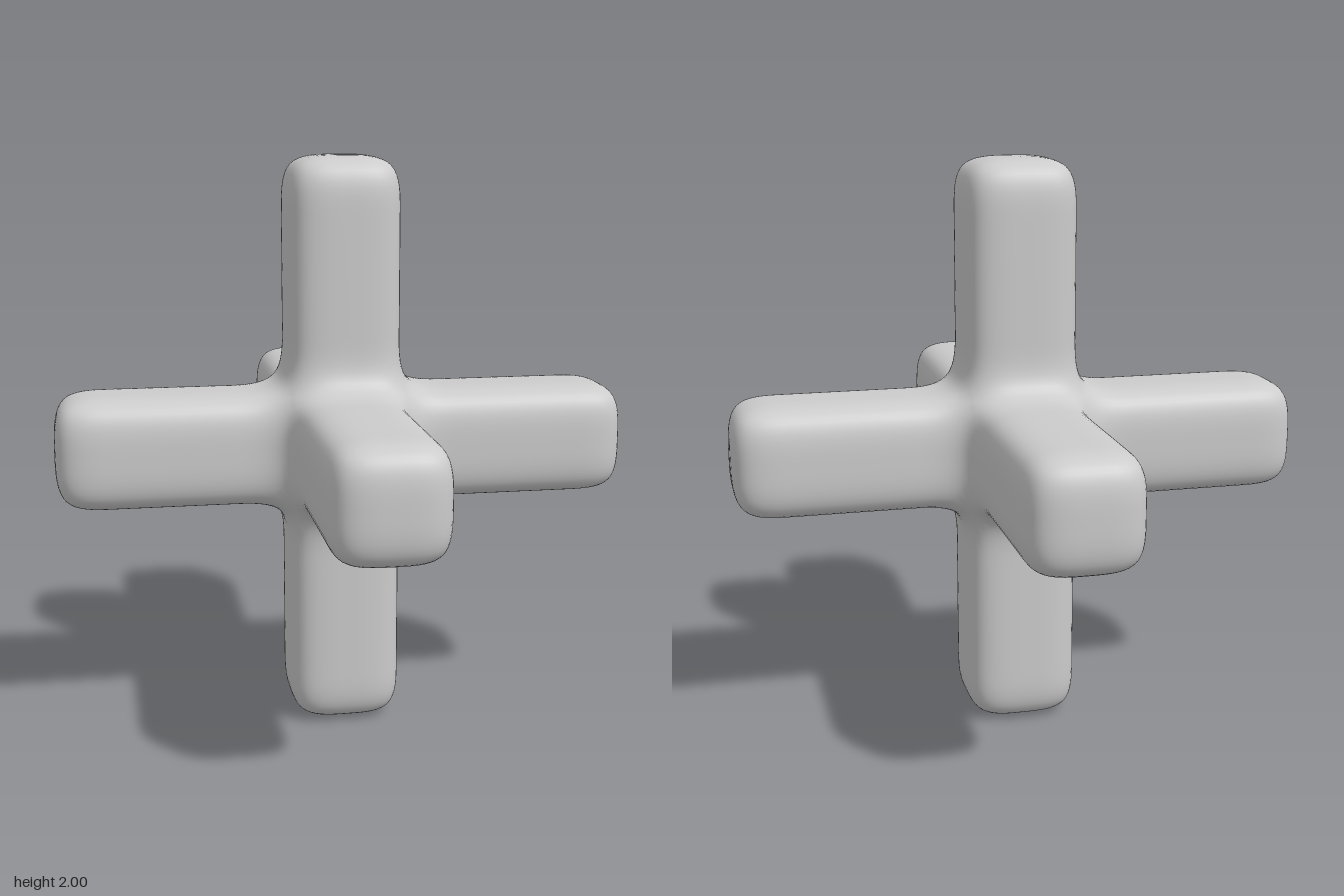
import * as THREE from 'three';

// Cage spacing along each axis: index 0..5 outward from the centre
const STEPS = [0, 0.196, 0.4, 0.6, 0.8, 1];
const place = (i) => Math.sign(i) * STEPS[Math.abs(i)];

// Blocky cage: cells two wide along each axis, forming six square arms
function buildCage() {
  const filled = (c) =>
    c.every((v) => v >= -5 && v < 5) && c.filter((v) => v === -1 || v === 0).length >= 2;
  const points = [], faces = [], ids = new Map();
  const vertex = (p) => {
    const key = p.join();
    if (!ids.has(key)) {
      ids.set(key, points.length);
      points.push(new THREE.Vector3(...p.map(place)));
    }
    return ids.get(key);
  };
  for (let x = -5; x < 5; x++) for (let y = -5; y < 5; y++) for (let z = -5; z < 5; z++) {
    const cell = [x, y, z];
    if (!filled(cell)) continue;
    for (let a = 0; a < 3; a++) for (const s of [-1, 1]) {
      const next = [...cell];
      next[a] += s;
      if (filled(next)) continue;
      const b = (a + 1) % 3, c = (a + 2) % 3;
      const face = [[0, 0], [1, 0], [1, 1], [0, 1]].map(([u, v]) => {
        const p = [...cell];
        p[a] += s > 0 ? 1 : 0;
        p[b] += u;
        p[c] += v;
        return vertex(p);
      });
      faces.push(s > 0 ? face : face.reverse());
    }
  }
  return { points, faces };
}

// One round of Catmull-Clark smoothing on a closed quad mesh
function subdivide({ points, faces }) {
  const n = points.length;
  const out = points.map(() => new THREE.Vector3());
  const faceSum = points.map(() => new THREE.Vector3());
  const edgeSum = points.map(() => new THREE.Vector3());
  const valence = new Array(n).fill(0);
  const edges = new Map();
  const centres = faces.map((f) => {
    const m = new THREE.Vector3();
    f.forEach((i) => m.addScaledVector(points[i], 0.25));
    out.push(m);
    f.forEach((i, k) => {
      const j = f[(k + 1) % 4];
      const key = Math.min(i, j) * n + Math.max(i, j);
      if (!edges.has(key)) edges.set(key, { i, j, sum: new THREE.Vector3() });
      edges.get(key).sum.add(m);
      faceSum[i].add(m);
      valence[i]++;
    });
    return out.length - 1;
  });
  for (const e of edges.values()) {
    const mid = points[e.i].clone().add(points[e.j]);
    edgeSum[e.i].addScaledVector(mid, 0.5);
    edgeSum[e.j].addScaledVector(mid, 0.5);
    e.id = out.push(mid.add(e.sum).multiplyScalar(0.25)) - 1;
  }
  points.forEach((p, i) => {
    const v = valence[i];
    out[i].copy(p).multiplyScalar((v - 3) / v)
      .addScaledVector(faceSum[i], 1 / (v * v))
      .addScaledVector(edgeSum[i], 2 / (v * v));
  });
  const edgeId = (i, j) => edges.get(Math.min(i, j) * n + Math.max(i, j)).id;
  const quads = faces.flatMap((f, q) => f.map((i, k) =>
    [i, edgeId(i, f[(k + 1) % 4]), centres[q], edgeId(f[(k + 3) % 4], i)]));
  return { points: out, faces: quads };
}

export function createModel() {
  let mesh = buildCage();
  for (let level = 0; level < 3; level++) mesh = subdivide(mesh);

  const geometry = new THREE.BufferGeometry().setFromPoints(mesh.points);
  geometry.setIndex(mesh.faces.flatMap(([a, b, c, d]) => [a, b, c, a, c, d]));
  geometry.computeVertexNormals();

  // Six soft-edged arms blended at the centre, resting on the lower arm
  const body = new THREE.Mesh(geometry, new THREE.MeshStandardMaterial({ color: 0xcccccc }));
  body.name = 'sixArmedCross';
  body.position.y = 1;

  const group = new THREE.Group();
  group.name = 'roundedJack';
  group.add(body);
  return group;
}
